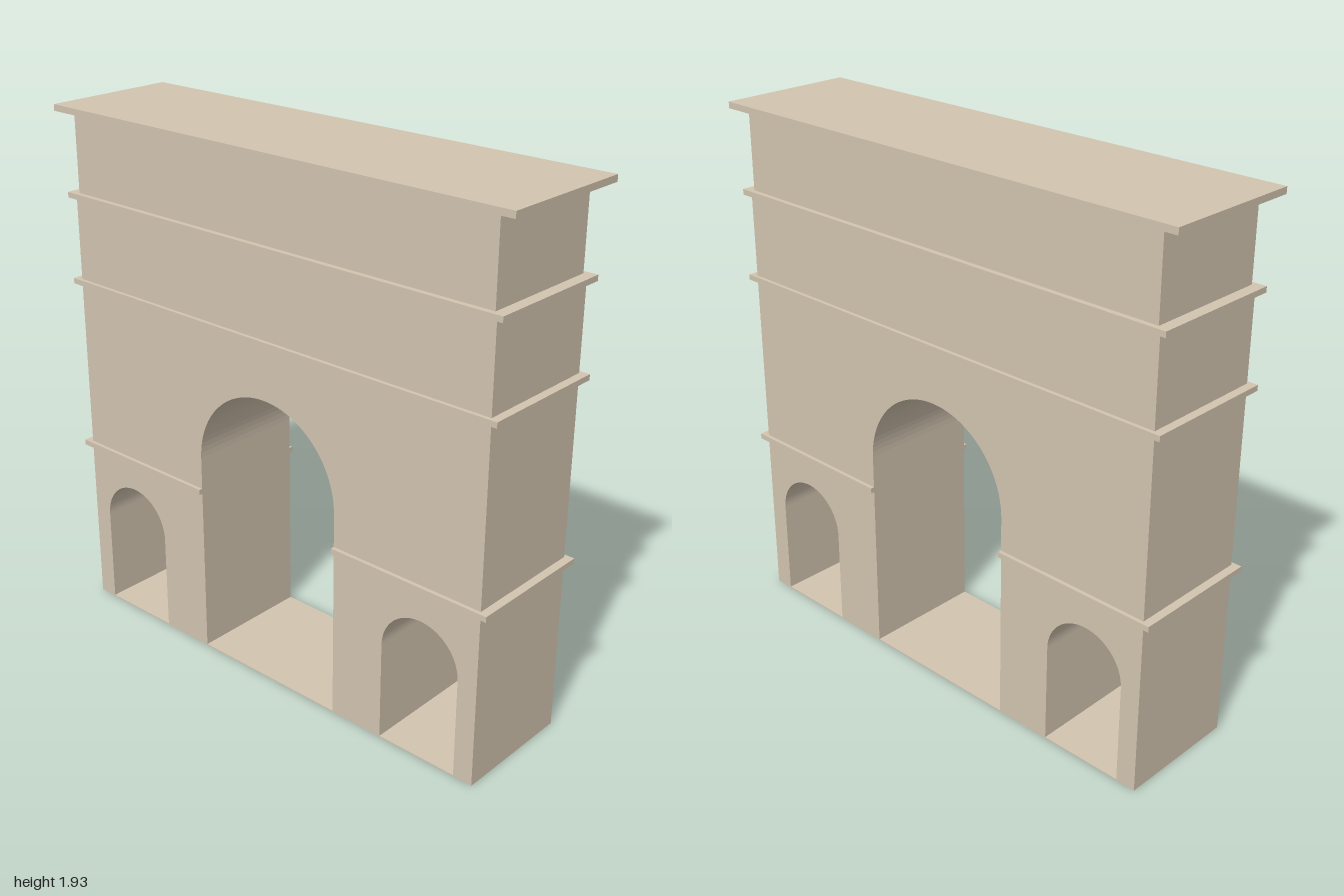
import * as THREE from 'three';

const W = 1.82, D = 0.456;            // main body
const FLOOR = 0.004;
const MAIN = { r: 0.312, spring: 0.776 };
const SIDE = { x: 0.68, r: 0.156, spring: 0.368 };
const BAND = { w: 1.88, d: 0.484 };

const stone = new THREE.MeshStandardMaterial({ color: 0xd2c4b0 });

export function createModel() {
  const arch = new THREE.Group();
  arch.name = 'triumphalArch';

  const add = (name, geometry) => {
    const mesh = new THREE.Mesh(geometry, stone);
    mesh.name = name;
    arch.add(mesh);
    return mesh;
  };

  // Box course spanning x0..x1 and y0..y1, centred on z
  const course = (name, x0, x1, y0, y1, d) =>
    add(name, new THREE.BoxGeometry(x1 - x0, y1 - y0, d)
      .translate((x0 + x1) / 2, (y0 + y1) / 2, 0));

  // Block with a round-headed notch rising from its lower edge
  const archedBlock = (name, x0, x1, y0, y1, cx, r, spring) => {
    const s = new THREE.Shape();
    s.moveTo(x0, y0);
    s.lineTo(cx - r, y0);
    s.lineTo(cx - r, spring);
    s.absarc(cx, spring, r, Math.PI, 0, true);
    s.lineTo(cx + r, y0);
    s.lineTo(x1, y0);
    s.lineTo(x1, y1);
    s.lineTo(x0, y1);
    s.closePath();
    const g = new THREE.ExtrudeGeometry(s, { depth: D, bevelEnabled: false, curveSegments: 24 });
    return add(name, g.translate(0, 0, -D / 2));
  };

  // Thin floor under the passages
  course('floor', -W / 2, W / 2, 0, FLOOR, D);

  // Two piers with side passages and their impost bands
  for (const [side, turn] of [['left', 0], ['right', Math.PI]]) {
    archedBlock(side + 'Pier', MAIN.r, W / 2, FLOOR, 0.635, SIDE.x, SIDE.r, SIDE.spring).rotation.y = turn;
    course(side + 'ImpostBand', MAIN.r, BAND.w / 2, 0.635, 0.655, BAND.d).rotation.y = turn;
  }

  // Upper wall around the main arch, then stacked courses
  archedBlock('archWall', -W / 2, W / 2, 0.655, 1.283, 0, MAIN.r, MAIN.spring);
  course('lowerCornice', -BAND.w / 2, BAND.w / 2, 1.283, 1.303, BAND.d);
  course('frieze', -W / 2, W / 2, 1.303, 1.604, D);
  course('upperCornice', -BAND.w / 2, BAND.w / 2, 1.604, 1.624, BAND.d);
  course('attic', -0.9, 0.9, 1.624, 1.91, 0.446);
  course('roofSlab', -0.97, 0.97, 1.91, 1.933, 0.508);

  // The whole arch stands turned on its site
  arch.rotation.y = THREE.MathUtils.degToRad(-19.5);
  const model = new THREE.Group();
  model.name = 'model';
  model.add(arch);
  return model;
}
